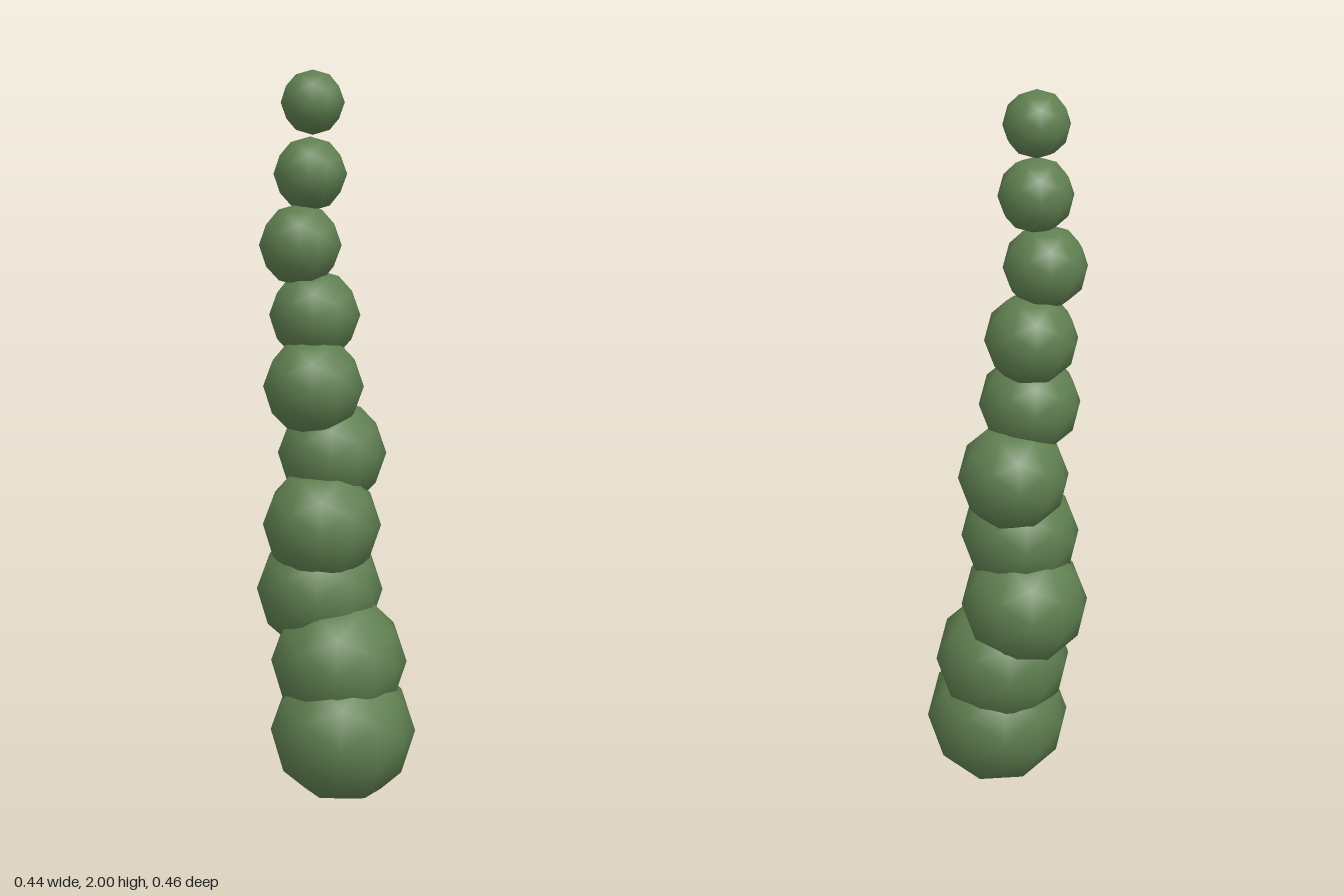
import * as THREE from 'three';

// Sideways drift [x, z] of each ball, from the base up
const DRIFT = [
  [0.02, 0.028], [0.008, 0.001], [-0.047, -0.054], [-0.039, -0.015], [-0.013, -0.075],
  [-0.062, -0.029], [-0.06, -0.071], [-0.098, -0.056], [-0.071, -0.065], [-0.066, -0.11],
];

export function createModel() {
  const model = new THREE.Group();
  model.name = 'beadedStalk';
  const green = new THREE.MeshStandardMaterial({ color: 0x5f7f50 });

  // Evenly stacked, smooth-shaded low-poly balls that shrink towards the tip
  DRIFT.forEach(([x, z], i) => {
    const t = i / (DRIFT.length - 1);
    const radius = THREE.MathUtils.lerp(0.2, 0.0866, t);
    const segment = new THREE.Mesh(new THREE.IcosahedronGeometry(radius, 1), green);
    segment.name = `stalkSegment${i + 1}`;
    segment.position.set(x, THREE.MathUtils.lerp(0.202, 1.9134, t), z);
    model.add(segment);
  });
  return model;
}
